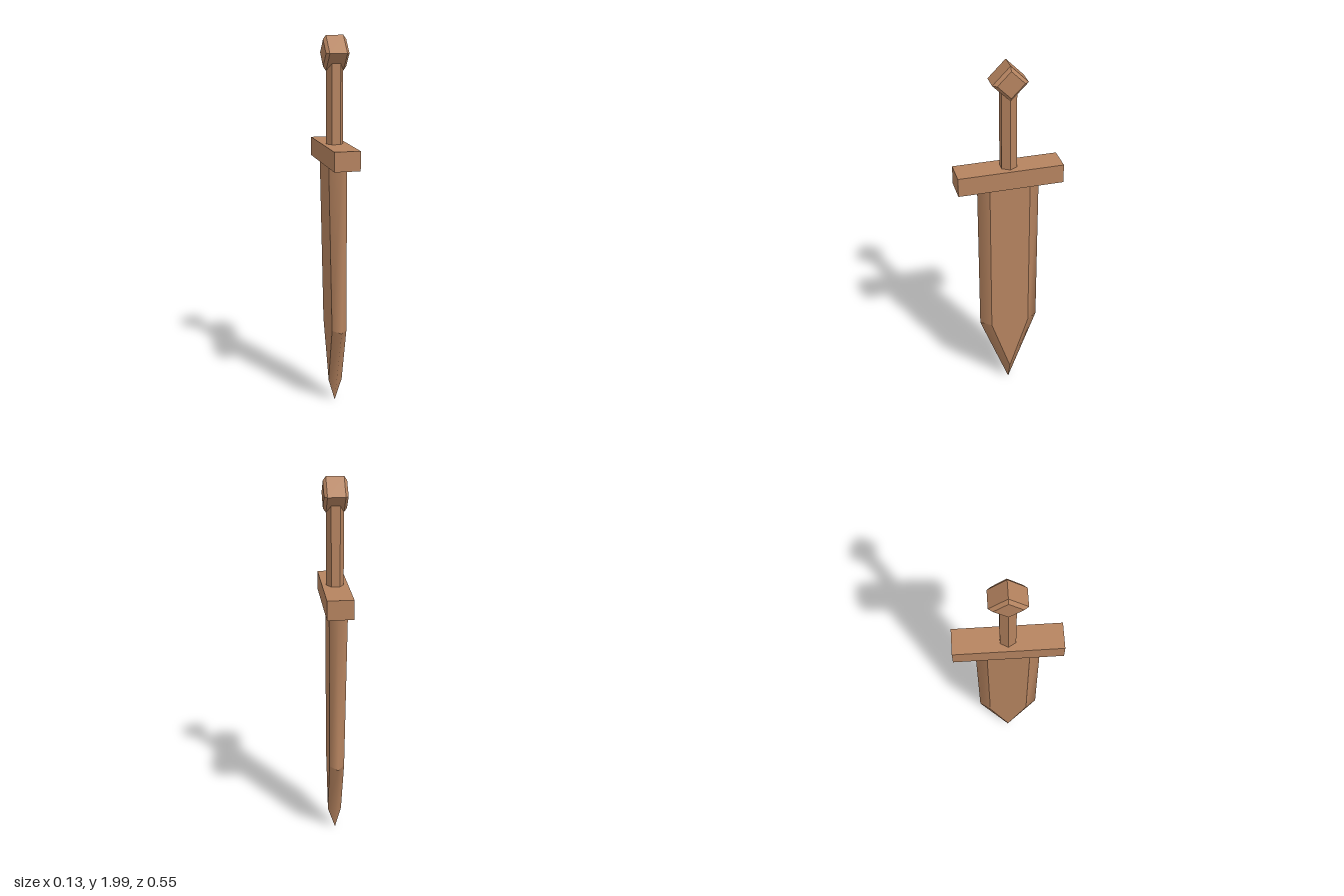
import * as THREE from 'three';

const material = new THREE.MeshStandardMaterial({ color: 0xb5835f });
const facetMaterial = material.clone();
facetMaterial.flatShading = true;

// Smooth surface through rows of points; rows run downwards, points left to right seen from outside
function grid(rows) {
  const n = rows[0].length;
  const index = [];
  for (let r = 0; r < rows.length - 1; r++) {
    for (let c = 0; c < n - 1; c++) {
      const a = r * n + c;
      index.push(a, a + n, a + 1, a + 1, a + n, a + n + 1);
    }
  }
  const geometry = new THREE.BufferGeometry();
  geometry.setAttribute('position', new THREE.Float32BufferAttribute(rows.flat(2), 3));
  geometry.setIndex(index);
  geometry.computeVertexNormals();
  return geometry;
}

function add(parent, name, geometry, mat = material) {
  const mesh = new THREE.Mesh(geometry, mat);
  mesh.name = name;
  parent.add(mesh);
  return mesh;
}

// Blade levels: height of flat and edge, half widths of flat and edge, x of the two flats
const levels = [
  { y: 1.36, edgeY: 1.36, flat: 0.105, edge: 0.162, right: -0.056, left: 0.04 },
  { y: 0.46, edgeY: 0.46, flat: 0.105, edge: 0.162, right: -0.039, left: 0.04 },
  { y: 0.13, edgeY: 0.01, flat: 0, edge: 0, right: -0.034, left: 0.04 },
];

function createBlade() {
  const blade = new THREE.Group();
  blade.name = 'blade';
  for (const s of [1, -1]) {
    // Broad flat face
    const face = levels.map((l) => {
      const x = s > 0 ? l.left : l.right;
      return [[x, l.y, s * l.flat], [x, l.y, -s * l.flat]];
    });
    add(blade, 'bladeFlat', grid(face));

    // Bevelled cutting edge and its taper to the point
    const bevel = levels.map((l) => {
      const row = [
        [l.right, l.y, s * l.flat],
        [0, l.edgeY, s * l.edge],
        [l.left, l.y, s * l.flat],
      ];
      return s > 0 ? row : row.reverse();
    });
    add(blade, 'bladeEdge', grid(bevel.slice(0, 2)));
    add(blade, 'bladeTip', grid(bevel.slice(1)));
  }
  return blade;
}

export function createModel() {
  const sword = new THREE.Group();
  sword.name = 'sword';
  sword.add(createBlade());

  // Crossguard
  add(sword, 'crossguard', new THREE.BoxGeometry(0.134, 0.1, 0.545)).position.y = 1.4;

  // Six-sided grip with corners towards +x and -x
  const grip = add(sword, 'grip', new THREE.CylinderGeometry(0.045, 0.045, 0.46, 6), facetMaterial);
  grip.rotation.y = Math.PI / 2;
  grip.position.y = 1.66;

  // Diamond pommel with chamfered ends, its axis along x
  const profile = [[0, -0.06], [0.068, -0.06], [0.089, -0.045], [0.089, 0.045], [0.068, 0.06], [0, 0.06]];
  const pommel = add(
    sword,
    'pommel',
    new THREE.LatheGeometry(profile.map(([r, h]) => new THREE.Vector2(r, h)), 4),
    facetMaterial,
  );
  pommel.rotation.z = Math.PI / 2;
  pommel.position.y = 1.911;

  return sword;
}
